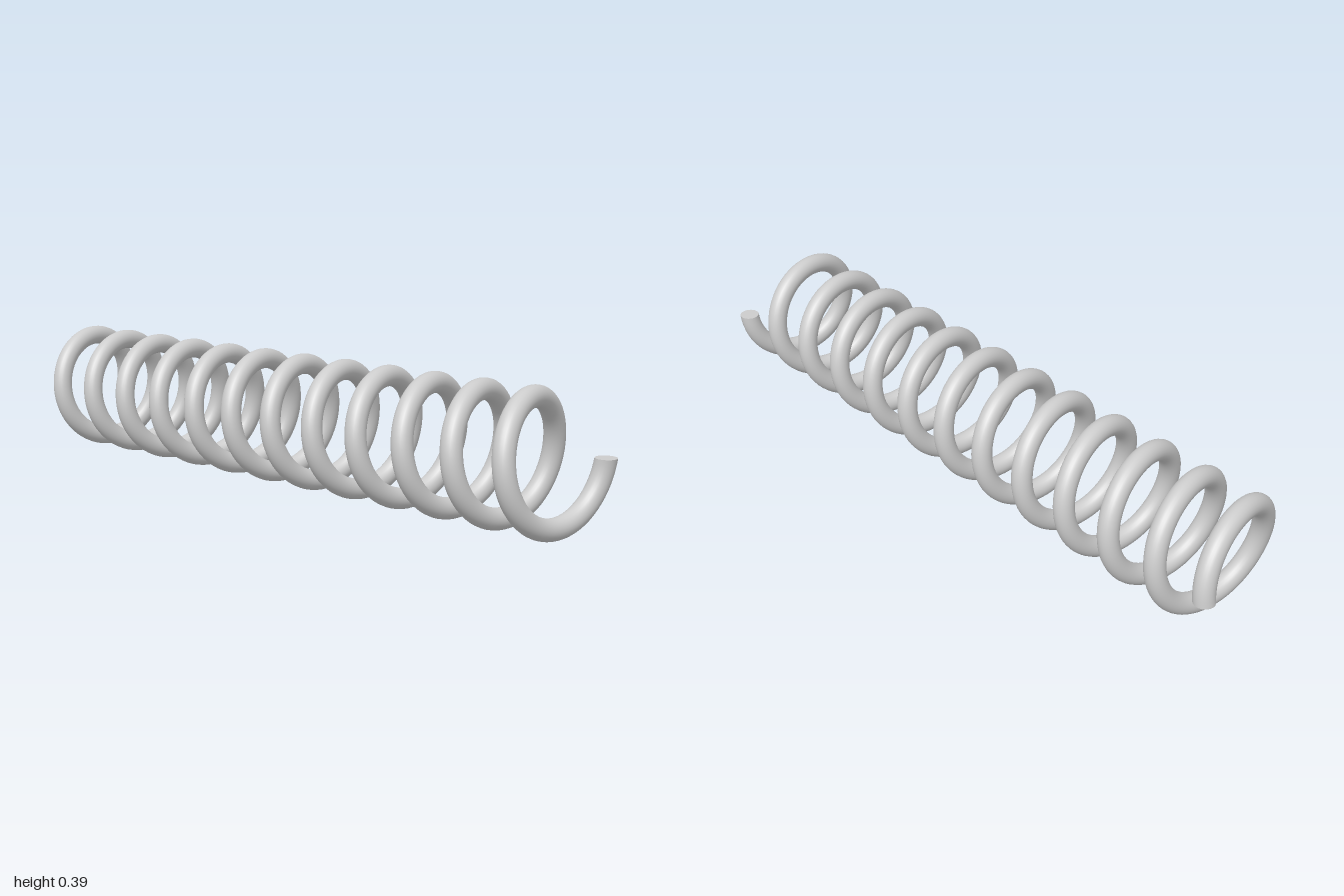
import * as THREE from 'three';
import { mergeVertices } from 'three/addons/utils/BufferGeometryUtils.js';

const TURNS = 12, COIL_RADIUS = 0.166, WIRE_RADIUS = 0.03;
const HALF_LENGTH = 1 - WIRE_RADIUS; // wire centre at each end
const CENTRE_Y = COIL_RADIUS + WIRE_RADIUS;
const SIDES = 24;

export function createModel() {
  const group = new THREE.Group();
  group.name = 'coilSpring';
  const material = new THREE.MeshStandardMaterial({ color: 0xcccccc });

  // Coil: a torus wound many times, stretched along z in proportion to its angle
  const steps = TURNS * 64;
  let geometry = new THREE.TorusGeometry(COIL_RADIUS, WIRE_RADIUS, SIDES, steps, TURNS * Math.PI * 2);
  const pos = geometry.attributes.position;
  for (let i = 0; i < pos.count; i++) {
    const t = (i % (steps + 1)) / steps;
    pos.setZ(i, pos.getZ(i) + HALF_LENGTH * (2 * t - 1));
  }
  // Weld the seam along the wire so the shading is smooth all round
  geometry.deleteAttribute('uv');
  geometry.deleteAttribute('normal');
  geometry = mergeVertices(geometry, 1e-5);
  geometry.computeVertexNormals();
  const coil = new THREE.Mesh(geometry, material);
  coil.name = 'coil';
  coil.position.y = CENTRE_Y;
  group.add(coil);

  // Flat cut ends: the front one faces up, the back one down
  for (const [name, side] of [['frontEnd', 1], ['backEnd', -1]]) {
    const cap = new THREE.Mesh(new THREE.CircleGeometry(WIRE_RADIUS, SIDES), material);
    cap.name = name;
    cap.rotation.x = -side * Math.PI / 2;
    cap.position.set(COIL_RADIUS, CENTRE_Y, side * HALF_LENGTH);
    group.add(cap);
  }
  return group;
}
